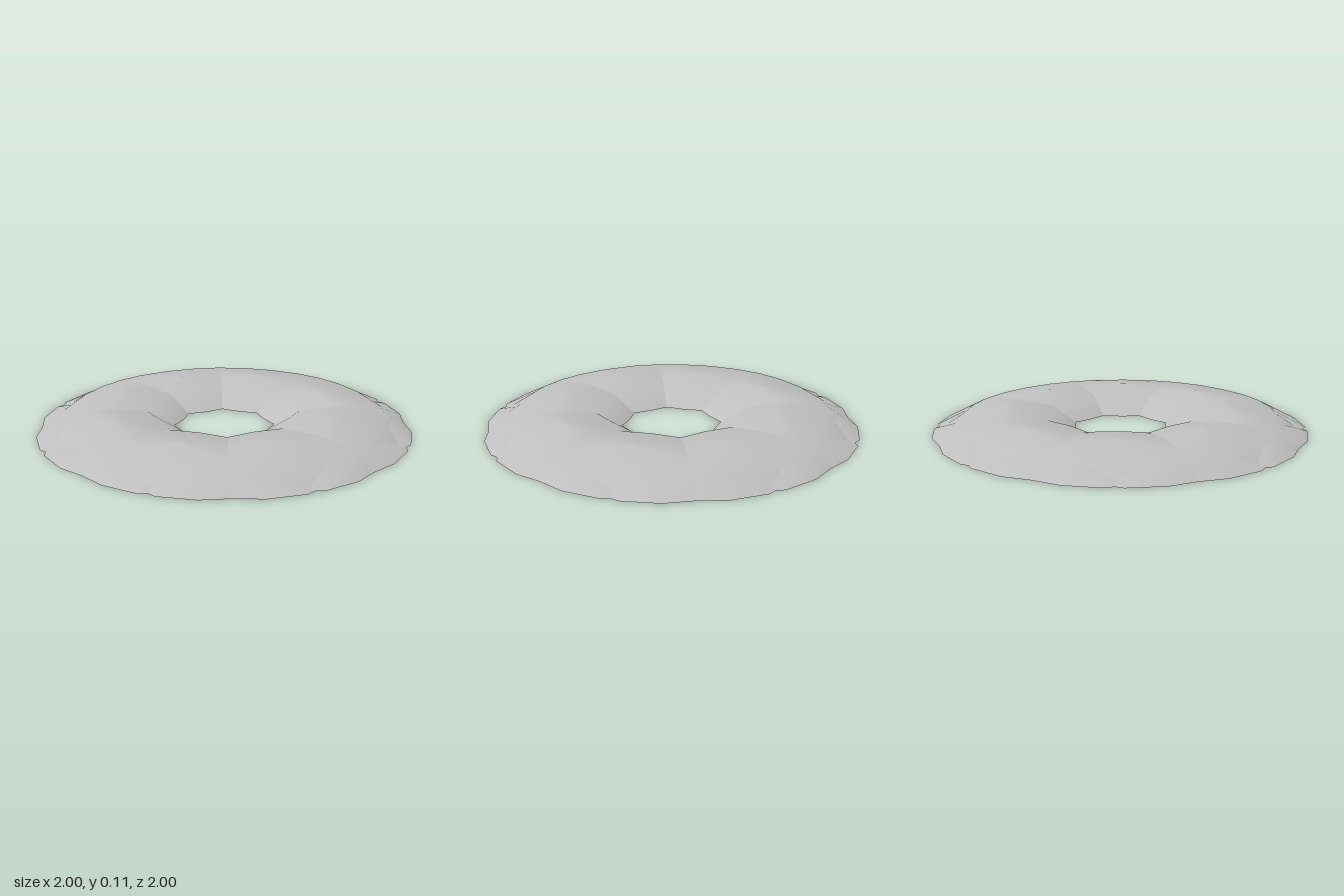
import * as THREE from 'three';
import { mergeGeometries } from 'three/addons/utils/BufferGeometryUtils.js';

const LOBES = 8, SIDES = 16;
const RING_RADIUS = 0.6, HALF_LENGTH = 0.732, HALF_WIDTH = 0.361;

// Low dome stretched along the ring, closed by a flat base
function lobeGeometry() {
  const profile = [[1, 0], [0.66, 0.08], [0, 0.112]].map(([r, y]) => new THREE.Vector2(r, y));
  const dome = new THREE.LatheGeometry(profile, SIDES);
  const base = new THREE.CircleGeometry(1, SIDES).rotateX(Math.PI / 2);
  return mergeGeometries([dome, base])
    .scale(HALF_LENGTH, 1, HALF_WIDTH)
    .translate(0, 0, RING_RADIUS);
}

export function createModel() {
  const group = new THREE.Group();
  group.name = 'lobedRing';
  const grey = new THREE.MeshStandardMaterial({ color: 0xbfbfbf });
  grey.name = 'light grey';

  // Overlapping lobes form the ring
  const geometry = lobeGeometry();
  for (let i = 0; i < LOBES; i++) {
    const lobe = new THREE.Mesh(geometry, grey);
    lobe.name = `lobe${i + 1}`;
    lobe.rotation.y = (i / LOBES) * Math.PI * 2;
    group.add(lobe);
  }
  return group;
}
